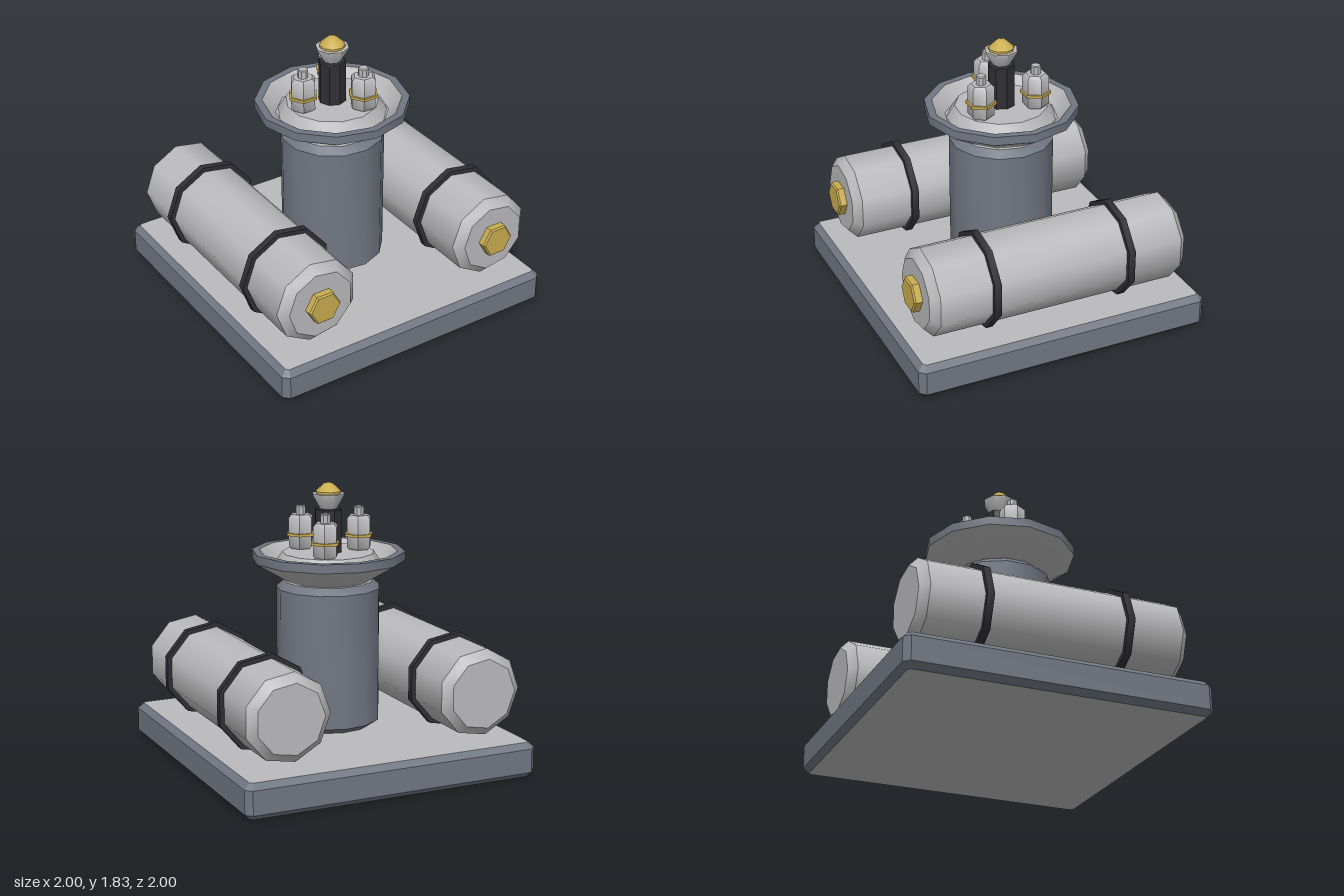
import * as THREE from 'three';
import { toCreasedNormals } from 'three/addons/utils/BufferGeometryUtils.js';

const mat = (name, color) => {
  const m = new THREE.MeshStandardMaterial({ color });
  m.name = name;
  return m;
};

export function createModel() {
  const model = new THREE.Group();
  model.name = 'tankStation';
  const light = mat('lightGrey', 0xbbbbbd);
  const blue = mat('slateBlue', 0x717783);
  const dark = mat('darkRubber', 0x302f35);
  const gold = mat('brass', 0xcaad50);

  const add = (parent, name, geometry, material) => {
    const mesh = new THREE.Mesh(geometry, material);
    mesh.name = name;
    parent.add(mesh);
    return mesh;
  };
  // Turned solid from [radius, height] pairs, bottom to top; first corner at "start"
  const turned = (profile, sides, start = Math.PI / 2) => toCreasedNormals(
    new THREE.LatheGeometry(profile.map(([r, y]) => new THREE.Vector2(r, y)), sides, start), 0.73);
  // Closed cylinder profile with chamfered ends
  const chamfered = (r, y0, y1, c, h = c) =>
    [[0, y0], [r - c, y0], [r, y0 + h], [r, y1 - h], [r - c, y1], [0, y1]];
  const plain = (r, y0, y1) => [[0, y0], [r, y0], [r, y1], [0, y1]];

  // Bevelled base slab: light faces, blue edges
  const b = 0.037, e = 1 - b, k = e - 0.017;
  const outline = new THREE.Shape([[e, -k], [e, k], [k, e], [-k, e], [-e, k], [-e, -k], [-k, -e], [k, -e]]
    .map(([x, y]) => new THREE.Vector2(x, y)));
  const slab = new THREE.ExtrudeGeometry(outline, {
    depth: 0.23 - 2 * b, bevelEnabled: true, bevelSize: b, bevelThickness: b, bevelSegments: 1,
  });
  slab.rotateX(-Math.PI / 2).translate(0, b, 0);
  add(model, 'base', slab, [light, blue]);

  // Central pillar with a light top face
  add(model, 'pillar', turned([[0, 0.23], [0.285, 0.23], [0.34, 0.27], [0.34, 1.15], [0.29, 1.193]], 13), blue);
  add(model, 'pillarTop', turned([[0.29, 1.193], [0, 1.193]], 13), light);

  // Dish: underside, rim and hollow, with a raised platform inside
  const dish = new THREE.Group();
  dish.name = 'dish';
  model.add(dish);
  add(dish, 'dishUnderside', turned([[0, 1.195], [0.275, 1.195], [0.5, 1.33]], 12), light);
  add(dish, 'dishRim', turned([[0.5, 1.33], [0.5, 1.387], [0.45, 1.387]], 12), blue);
  add(dish, 'dishHollow', turned([[0.45, 1.387], [0.365, 1.295], [0, 1.295]], 12), light);
  add(dish, 'dishPlatform', turned([[0.357, 1.29], [0.3, 1.378], [0, 1.378]], 13), light);

  // Centre post with cup and brass tip
  add(model, 'post', turned(chamfered(0.09, 1.37, 1.662, 0.006), 8), dark);
  add(model, 'postCup', turned([[0, 1.66], [0.057, 1.66], [0.109, 1.752], [0.109, 1.76], [0, 1.76]], 8), light);
  add(model, 'postTip', turned([[0, 1.755], [0.083, 1.755], [0.083, 1.774], [0.03, 1.824], [0, 1.832]], 9), gold);

  // Three small canisters around the post
  for (let i = 0; i < 3; i++) {
    const a = Math.PI / 3 + i * Math.PI * 2 / 3;
    const canister = new THREE.Group();
    canister.name = 'canister';
    canister.position.set(0.22 * Math.cos(a), 1.375, 0.22 * Math.sin(a));
    add(canister, 'canisterBody', turned(chamfered(0.086, 0, 0.229, 0.02), 6), light);
    add(canister, 'canisterRing', turned(plain(0.1, 0.09, 0.108), 6), gold);
    add(canister, 'canisterNozzle', turned(chamfered(0.034, 0.22, 0.286, 0.006), 8), light);
    model.add(canister);
  }

  // Two lying tanks with straps and front valve nuts
  for (const side of [-1, 1]) {
    const tank = new THREE.Group();
    tank.name = side > 0 ? 'leftTank' : 'rightTank';
    tank.position.set(side * 0.663, 0.56, 0);
    tank.rotation.x = Math.PI / 2;
    const start = -Math.PI / 2;
    add(tank, 'tankBody', turned(chamfered(0.287, -0.885, 0.885, 0.058, 0.053), 9, start), light);
    for (const z of [-0.463, 0.463])
      add(tank, 'tankStrap', turned(plain(0.318, z - 0.023, z + 0.023), 9, start), dark);
    add(tank, 'valveNut', turned([[0, 0.87], [0.114, 0.87], [0.114, 0.928], [0.103, 0.938], [0, 0.938]], 6), gold);
    model.add(tank);
  }
  return model;
}
